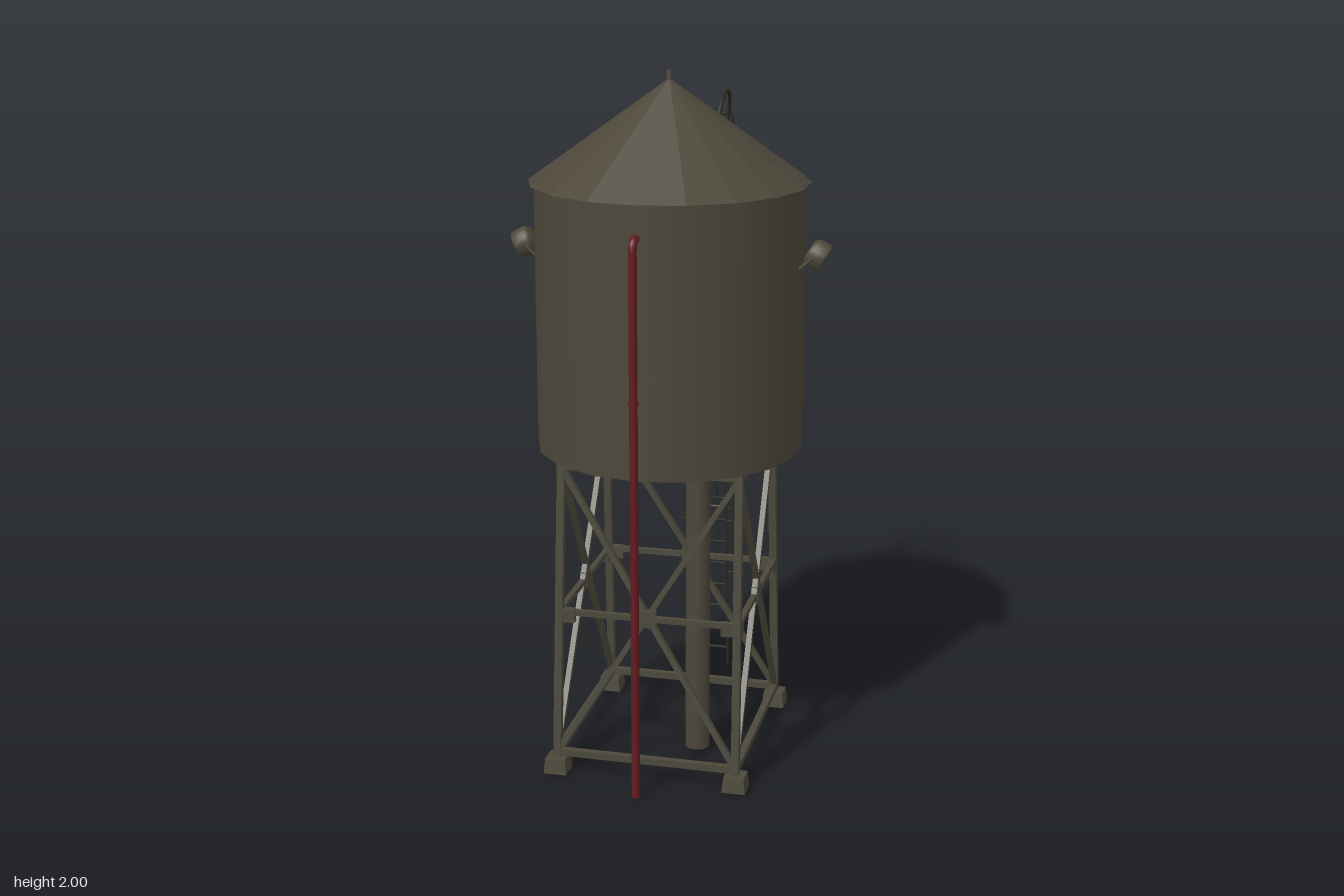
import * as THREE from 'three';

const mat = (name, color) => {
  const m = new THREE.MeshStandardMaterial({ color });
  m.name = name;
  return m;
};
const V = (x, y, z) => new THREE.Vector3(x, y, z);
const UP = V(0, 1, 0);
const CZ = 0.12; // tank and tower axis

export function createModel() {
  const root = new THREE.Group();
  root.name = 'waterTower';
  const paint = mat('olive paint', 0x4d473a);
  const steel = mat('weathered steel', 0x4c493b);
  const dark = mat('dark iron', 0x2b2b24);
  const red = mat('red pipe paint', 0x621b20);

  const add = (name, geo, m, x = 0, y = 0, z = 0, parent = root) => {
    const mesh = new THREE.Mesh(geo, m);
    mesh.name = name;
    mesh.position.set(x, y, z);
    parent.add(mesh);
    return mesh;
  };
  const group = (name) => {
    const g = new THREE.Group();
    g.name = name;
    root.add(g);
    return g;
  };
  const aim = (mesh, a, b) => {
    mesh.position.copy(a).lerp(b, 0.5);
    mesh.quaternion.setFromUnitVectors(UP, b.clone().sub(a).normalize());
    return mesh;
  };
  const beam = (name, a, b, w, d, parent) =>
    aim(add(name, new THREE.BoxGeometry(w, a.distanceTo(b), d), steel, 0, 0, 0, parent), a, b);
  const rod = (name, a, b, r, m, parent, sides = 6) =>
    aim(add(name, new THREE.CylinderGeometry(r, r, a.distanceTo(b), sides), m, 0, 0, 0, parent), a, b);
  const tube = (name, pts, r, m, parent, segs = 24, sides = 6) =>
    add(name, new THREE.TubeGeometry(new THREE.CatmullRomCurve3(pts), segs, r, sides), m, 0, 0, 0, parent);

  // Tank, faceted conical roof and finial
  add('tank', new THREE.CylinderGeometry(0.383, 0.383, 0.77, 18), paint, 0, 1.315, CZ);
  const roof = new THREE.ConeGeometry(0.3975, 0.285, 18).toNonIndexed();
  roof.computeVertexNormals();
  add('roof', roof, paint, 0, 1.8355, CZ);
  add('finial', new THREE.CylinderGeometry(0.007, 0.009, 0.04, 8), steel, 0, 1.98, CZ);

  // Tower: leg position at any height
  const tower = group('tower');
  const leg = (sx, sz, y) =>
    V(sx * (0.264 - 0.008 * y / 0.93), y, CZ + sz * (0.304 - 0.066 * y / 0.93));
  const corners = [[1, 1], [1, -1], [-1, -1], [-1, 1]];
  corners.forEach(([sx, sz], i) => {
    const [tx, tz] = corners[(i + 1) % 4];
    beam('leg', leg(sx, sz, 0.02), leg(sx, sz, 0.93), 0.022, 0.022, tower);

    // Footing with a slightly tapered top
    const foot = new THREE.CylinderGeometry(0.042, 0.048, 0.045, 4).rotateY(Math.PI / 4).toNonIndexed();
    foot.computeVertexNormals();
    add('footing', foot, steel, sx * 0.264, 0.0225, CZ + sz * 0.3, tower);

    // Horizontal rails and cross bracing on each side
    for (const [y, t] of [[0.06, 0.02], [0.485, 0.016], [0.915, 0.022]])
      beam('rail', leg(sx, sz, y), leg(tx, tz, y), t, t, tower);
    beam('brace', leg(sx, sz, 0.06), leg(tx, tz, 0.91), 0.016, 0.016, tower);
    beam('brace', leg(tx, tz, 0.06), leg(sx, sz, 0.91), 0.016, 0.016, tower);

    // Gusset plates at the crossing and at the leg joints
    const a = leg(sx, sz, 0.485), b = leg(tx, tz, 0.485);
    const onSide = sx === tx;
    for (const [f, w] of [[0.5, 0.05], [0.05, 0.04], [0.95, 0.04]]) {
      const p = a.clone().lerp(b, f);
      add('gusset', new THREE.BoxGeometry(onSide ? 0.02 : w, w, onSide ? w : 0.02), steel,
        p.x, f === 0.5 ? p.y : p.y - 0.01, p.z, tower);
    }
  });

  // Supply pipe under the tank
  add('supplyPipe', new THREE.CylinderGeometry(0.036, 0.036, 0.93, 16), paint, 0.095, 0.465, 0.165);

  // Red overflow pipe with its bend and bracket
  const overflow = group('overflowPipe');
  rod('pipe', V(0, 0, 0.533), V(0, 1.575, 0.533), 0.012, red, overflow, 12);
  tube('pipeBend', [V(0, 1.572, 0.533), V(0, 1.59, 0.529), V(0, 1.599, 0.517), V(0, 1.602, 0.495)],
    0.012, red, overflow, 12, 12);
  add('pipeCollar', new THREE.CylinderGeometry(0.014, 0.014, 0.012, 12), red, 0, 1.16, 0.533, overflow);
  rod('pipeBracket', V(0, 1.16, 0.533), V(0, 1.16, 0.49), 0.004, dark, overflow);

  // Ladder leaning towards the tank
  const ladder = group('ladder');
  const lz = (y) => -0.435 + 0.083 * y;
  const R = 0.083, OFF = 0.055;
  for (const s of [-1, 1]) {
    rod('ladderRail', V(s * 0.06, 0, lz(0)), V(s * 0.06, 1.738, lz(1.738)), 0.0045, dark, ladder);
    rod('topSupport', V(s * 0.06, 1.738, lz(1.738)), V(s * 0.06, 1.738, -0.205), 0.004, dark, ladder);
    rod('lowerSupport', V(s * 0.06, 0.98, lz(0.98)), V(s * 0.06, 0.98, -0.245), 0.004, dark, ladder);
    // Looped grab rail over the eave
    tube('grabRail', [
      V(s * 0.06, 1.73, -0.291), V(s * 0.068, 1.77, -0.302), V(s * 0.076, 1.82, -0.31),
      V(s * 0.085, 1.873, -0.285), V(s * 0.09, 1.905, -0.228), V(s * 0.09, 1.892, -0.17),
      V(s * 0.087, 1.845, -0.128), V(s * 0.083, 1.785, -0.11)], 0.0055, dark, ladder, 36);
  }
  for (let i = 0; i < 23; i++) {
    const y = 0.065 + i * 0.0755;
    rod('rung', V(-0.06, y, lz(y)), V(0.06, y, lz(y)), 0.004, dark, ladder);
  }

  // Safety cage: hoops joined by upright bars
  const cage = group('ladderCage');
  const cagePoint = (a, y) => V(R * Math.cos(a), y, lz(y) - OFF - R * Math.sin(a));
  const hoops = [0.337, 0.515, 0.693, 0.872, 1.05, 1.228, 1.405, 1.583, 1.812];
  hoops.forEach((y, i) => {
    const pts = [];
    for (let k = 0; k <= 12; k++) pts.push(cagePoint(Math.PI * k / 12, y));
    tube('hoop', pts, 0.0042, dark, cage, 24);
    if (i < hoops.length - 1)
      for (const s of [-1, 1]) {
        rod('hoopArm', V(s * R, y, lz(y) - OFF), V(s * R, y, lz(y)), 0.004, dark, cage);
        rod('hoopTie', V(s * R, y, lz(y)), V(s * 0.06, y, lz(y)), 0.004, dark, cage);
      }
  });
  for (let k = 0; k <= 4; k++) {
    const a = Math.PI * k / 4;
    rod('cageBar', cagePoint(a, 0.337), cagePoint(a, 1.815), 0.0035, dark, cage);
  }

  // Floodlights on both sides, tilted outwards and down
  const head = [[0, -0.026], [0.03, -0.026], [0.04, -0.016], [0.043, 0], [0.043, 0.024], [0.037, 0.024],
    [0.035, 0.019], [0, 0.019]].map(([x, y]) => new THREE.Vector2(x, y));
  for (const s of [-1, 1]) {
    const lamp = group(s > 0 ? 'leftFloodlight' : 'rightFloodlight');
    const h = add('lampHead', new THREE.LatheGeometry(head, 18), steel, s * 0.422, 1.502, CZ, lamp);
    h.quaternion.setFromUnitVectors(UP, V(s * 0.85, -0.52, 0).normalize());
    for (const t of [-1, 1])
      rod('lampArm', V(s * 0.418, 1.502, CZ + t * 0.045), V(s * 0.372, 1.462, CZ + t * 0.04), 0.005, steel, lamp);
    rod('lampMount', V(s * 0.372, 1.462, CZ - 0.042), V(s * 0.372, 1.462, CZ + 0.042), 0.007, steel, lamp);
  }
  return root;
}
